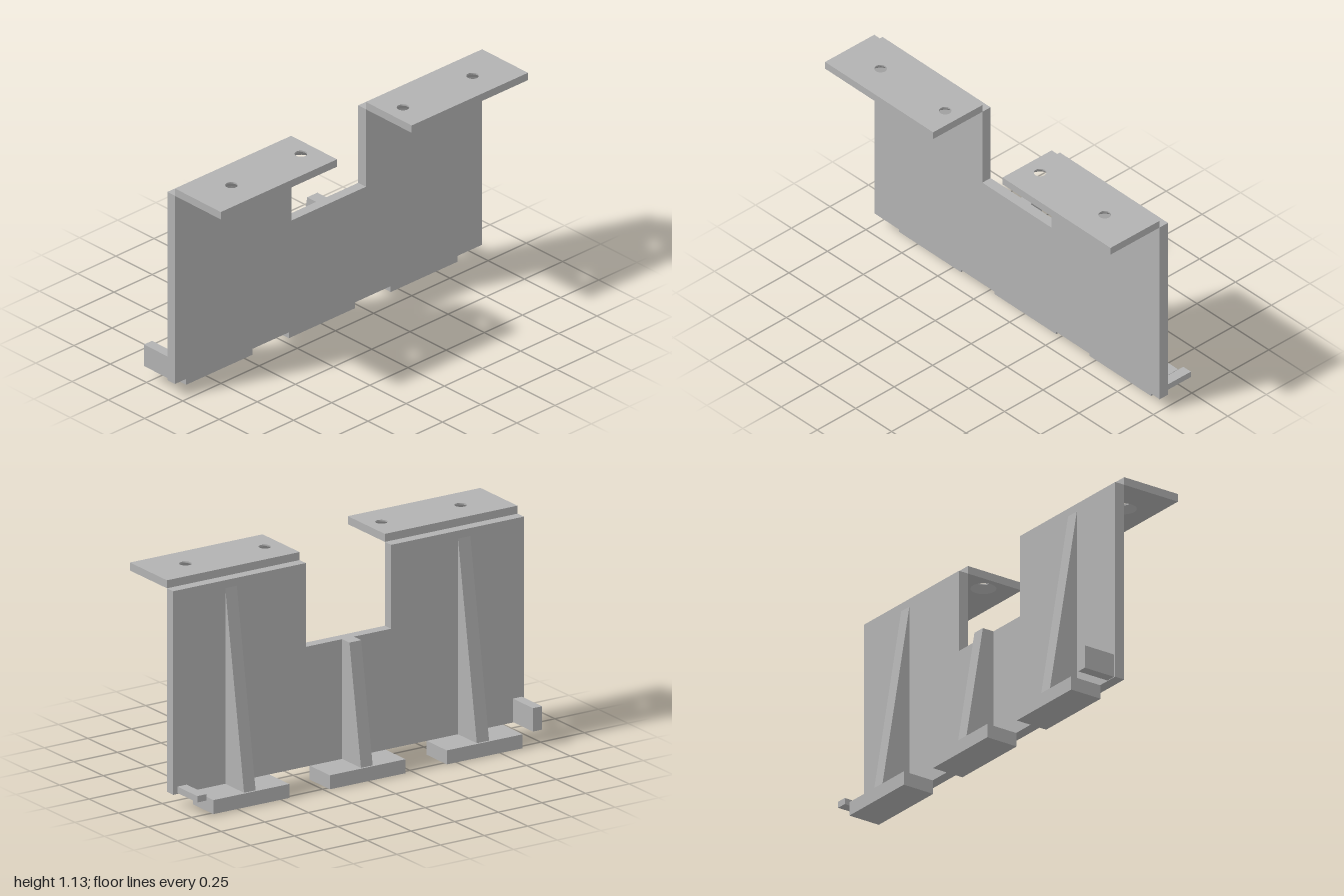
import * as THREE from 'three';

const BACK = -0.101, FRONT = -0.0475, OUTER = -0.272;   // x of the wall faces and of the foot ends
const BASE = 0.07, TOP = 1.09, NOTCH_Y = 0.67, NOTCH_Z = 0.243;

export function createModel() {
  const model = new THREE.Group();
  const body = new THREE.Group();
  body.name = 'bracket';
  body.rotation.y = -0.0065;
  model.add(body);

  const grey = new THREE.MeshStandardMaterial({ color: 0xb2b2b2 });
  grey.name = 'grey';

  const add = (name, geometry, parent = body) => {
    const mesh = new THREE.Mesh(geometry, grey);
    mesh.name = name;
    parent.add(mesh);
    return mesh;
  };
  const box = (name, x0, x1, y0, y1, z0, z1) =>
    add(name, new THREE.BoxGeometry(x1 - x0, y1 - y0, z1 - z0)
      .translate((x0 + x1) / 2, (y0 + y1) / 2, (z0 + z1) / 2));
  const outline = (points) => new THREE.Shape(points.map(([x, y]) => new THREE.Vector2(x, y)));
  const extrude = (shape, depth) =>
    new THREE.ExtrudeGeometry(shape, { depth, bevelEnabled: false, curveSegments: 16 });

  // Upright wall with a notch in the top edge
  const wall = outline([[-1, BASE], [1, BASE], [1, TOP], [NOTCH_Z, TOP], [NOTCH_Z, NOTCH_Y],
    [-NOTCH_Z, NOTCH_Y], [-NOTCH_Z, TOP], [-1, TOP]]);
  add('wall', extrude(wall, FRONT - BACK).rotateY(-Math.PI / 2).translate(FRONT, 0, 0));

  // Feet behind the wall
  for (const [z0, z1] of [[-0.885, -0.452], [-0.22, 0.212], [0.447, 0.88]]) {
    box('foot', OUTER, -0.098, 0, BASE, z0, z1);
  }

  // Tapered ribs; the middle one is cut level with the notch
  const ribX = (y) => BACK - (1.05 - y) * 0.164;
  const rib = (z0, z1, top) => {
    const points = [[BACK, BASE], [BACK, top], [ribX(top), top], [ribX(BASE), BASE]];
    if (top > 1) points.splice(2, 1);
    add('rib', extrude(outline(points), z1 - z0).translate(0, 0, z0));
  };
  rib(-0.703, -0.637, 1.05);
  rib(-0.036, 0.031, NOTCH_Y);
  rib(0.625, 0.695, 1.05);

  // End tabs
  box('tallTab', OUTER - 0.001, BACK, 0.073, 0.19, 0.938, 0.99);
  box('lowTab', OUTER + 0.001, BACK, 0.075, 0.107, -0.976, -0.923);

  // Mounting flanges with countersunk screw holes, open wide underneath
  const holeRadius = 0.03, sinkRadius = 0.062, sinkDepth = 0.032, thickness = 0.04;
  const flange = (z0, z1, holes) => {
    const group = new THREE.Group();
    group.name = 'flange';
    group.position.y = TOP;
    body.add(group);
    const layer = (name, radius, y, depth) => {
      const shape = outline([[FRONT, -z1], [0.27, -z1], [0.27, -z0], [FRONT, -z0]]);
      for (const z of holes) {
        shape.holes.push(new THREE.Path().absarc(0.112, -z, radius, 0, Math.PI * 2, true));
      }
      add(name, extrude(shape, depth).rotateX(-Math.PI / 2).translate(0, y, 0), group);
    };
    layer('flangeLower', sinkRadius, 0, sinkDepth);
    layer('flangeUpper', holeRadius, sinkDepth, thickness - sinkDepth);
    for (const z of holes) {
      // Profile runs downward so the cone faces into the hole
      const cone = new THREE.LatheGeometry([
        new THREE.Vector2(holeRadius, sinkDepth), new THREE.Vector2(sinkRadius, 0)], 32);
      add('countersink', cone, group).position.set(0.112, 0, z);
    }
  };
  flange(-1, -NOTCH_Z, [-0.788, -0.335]);
  flange(NOTCH_Z, 1, [0.33, 0.782]);

  return model;
}
